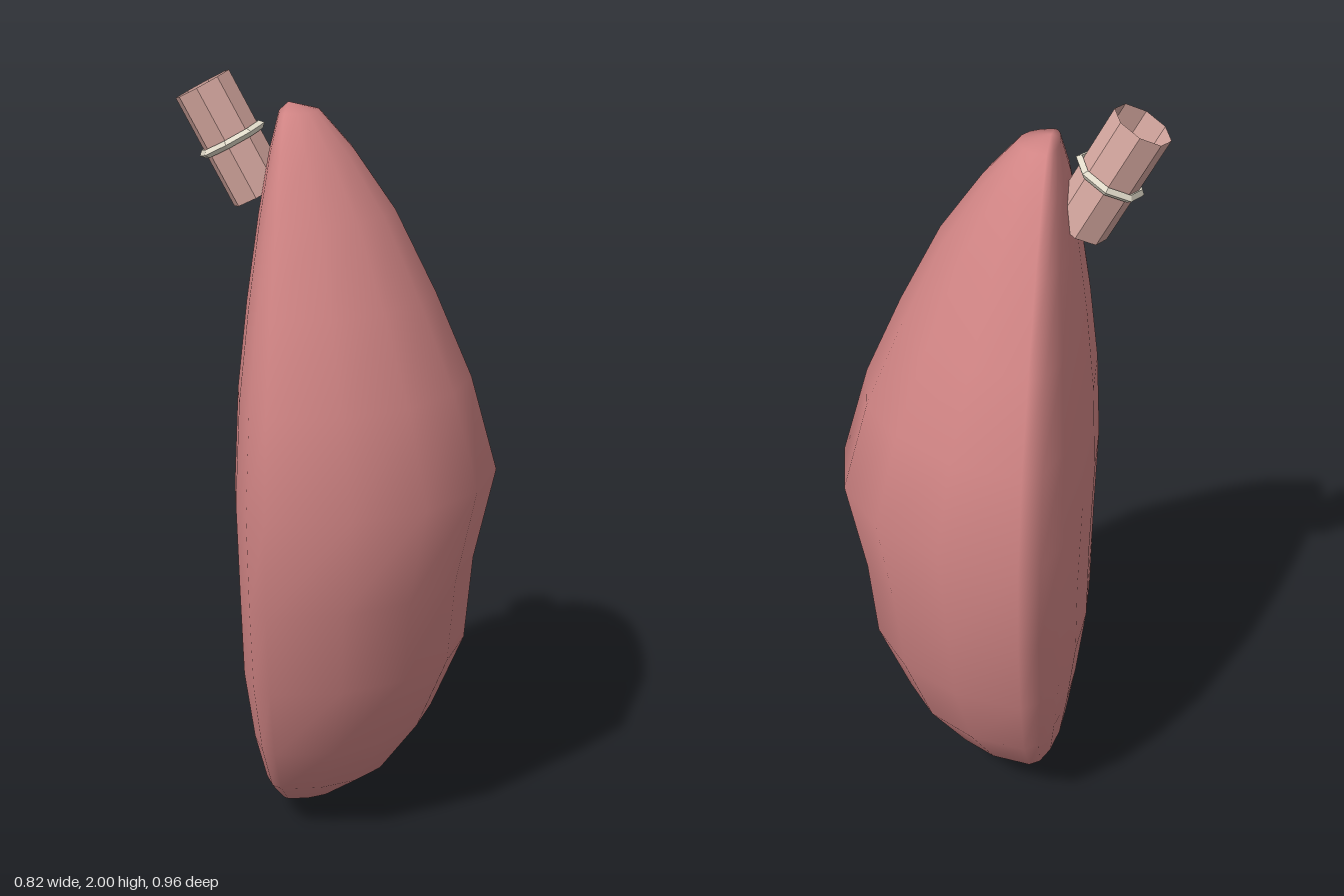
import * as THREE from 'three';

const shellMat = new THREE.MeshStandardMaterial({ color: 0xd08484 });
shellMat.name = 'rose';
const tubeMat = new THREE.MeshStandardMaterial({ color: 0xd6a8a0, flatShading: true, side: THREE.DoubleSide });
tubeMat.name = 'pale pink';
const ringMat = new THREE.MeshStandardMaterial({ color: 0xe2dccb, flatShading: true });
ringMat.name = 'cream';

const SPINE_X = -0.13;
const SIDES = 16;

// Each row: height, reach towards +x, reach towards -x, half width in z
const ROWS = [
  [0.045, 0.14, 0.035, 0.12],
  [0.14, 0.27, 0.07, 0.24],
  [0.295, 0.38, 0.095, 0.35],
  [0.50, 0.465, 0.12, 0.42],
  [0.73, 0.485, 0.122, 0.468],
  [0.98, 0.54, 0.13, 0.48],
  [1.23, 0.47, 0.12, 0.432],
  [1.45, 0.375, 0.098, 0.342],
  [1.66, 0.27, 0.07, 0.24],
  [1.81, 0.165, 0.045, 0.15],
  [1.905, 0.08, 0.022, 0.075],
];

// Domed front and nearly flat back, lofted from split ellipses
function shellGeometry() {
  const pos = [SPINE_X, 0, 0];
  const index = [];
  for (const [y, front, back, half] of ROWS) {
    for (let j = 0; j < SIDES; j++) {
      const a = (j / SIDES) * Math.PI * 2;
      const c = Math.cos(a);
      pos.push(SPINE_X + c * (c > 0 ? front : back), y, Math.sin(a) * half);
    }
  }
  pos.push(SPINE_X, 1.925, 0);
  const top = ROWS.length * SIDES + 1;
  const at = (i, j) => 1 + i * SIDES + (j % SIDES);
  for (let j = 0; j < SIDES; j++) {
    index.push(0, at(0, j), at(0, j + 1));
    for (let i = 0; i < ROWS.length - 1; i++) {
      index.push(at(i, j), at(i + 1, j), at(i, j + 1));
      index.push(at(i + 1, j), at(i + 1, j + 1), at(i, j + 1));
    }
    index.push(at(ROWS.length - 1, j), top, at(ROWS.length - 1, j + 1));
  }
  const g = new THREE.BufferGeometry();
  g.setAttribute('position', new THREE.Float32BufferAttribute(pos, 3));
  g.setIndex(index);
  g.computeVertexNormals();
  return g;
}

export function createModel() {
  const model = new THREE.Group();
  model.name = 'model';

  const shell = new THREE.Mesh(shellGeometry(), shellMat);
  shell.name = 'shell';
  model.add(shell);

  // Leaning open eight-sided tube with a thin collar
  const stem = new THREE.Group();
  stem.name = 'stem';
  stem.position.set(-0.273, 1.828, 0);
  stem.rotation.z = 0.49;

  const tube = new THREE.Mesh(new THREE.CylinderGeometry(0.077, 0.077, 0.306, 8, 1, true), tubeMat);
  tube.name = 'tube';
  tube.position.y = 0.002;
  tube.rotation.y = Math.PI / 2;
  stem.add(tube);

  const collar = new THREE.Mesh(new THREE.TorusGeometry(0.083, 0.011, 4, 8), ringMat);
  collar.name = 'collar';
  collar.rotation.x = Math.PI / 2;
  stem.add(collar);

  model.add(stem);
  return model;
}
